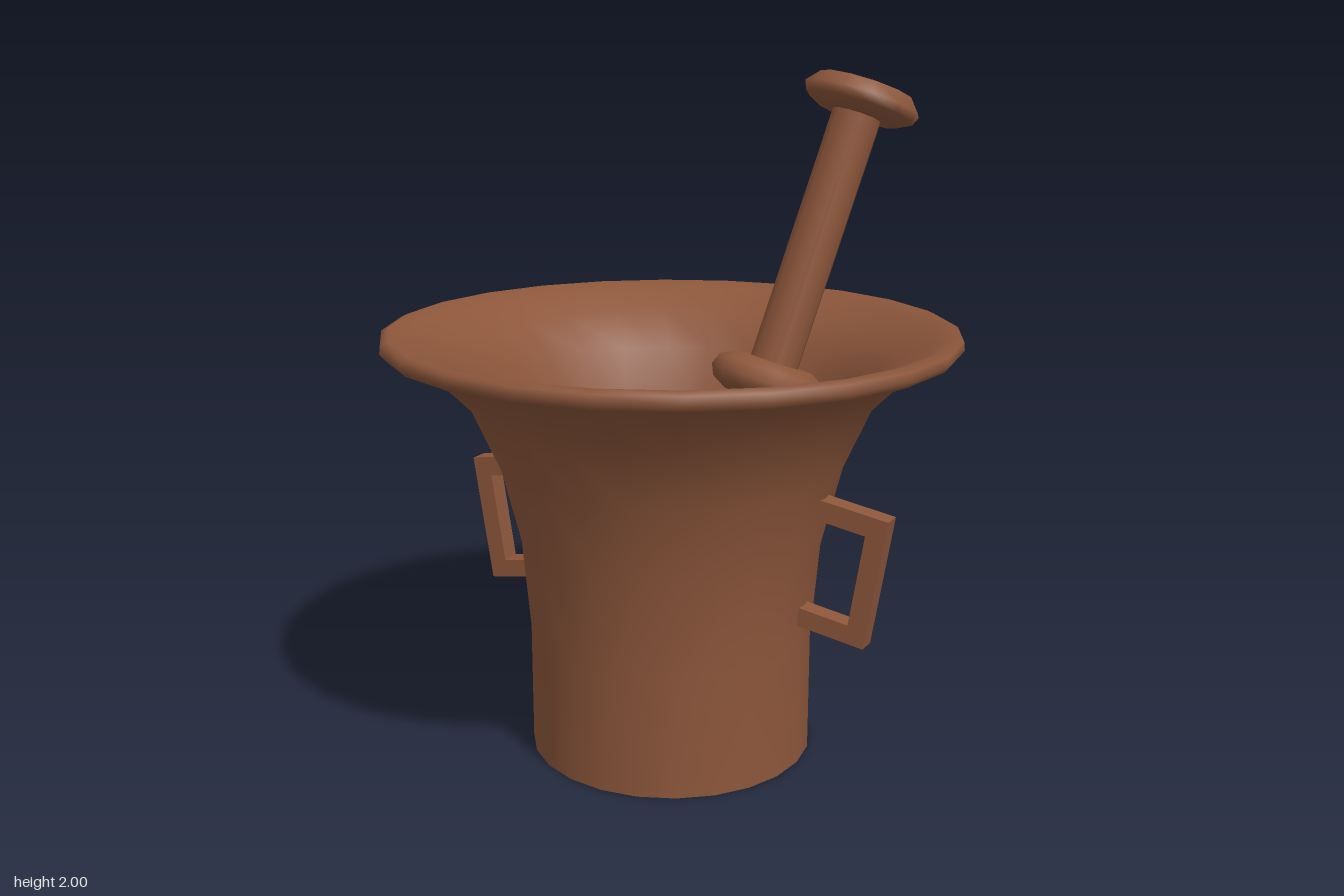
import * as THREE from 'three';

const clay = new THREE.MeshStandardMaterial({ color: 0x8c563b });
clay.name = 'brown';

function add(parent, name, geometry) {
  const mesh = new THREE.Mesh(geometry, clay);
  mesh.name = name;
  parent.add(mesh);
  return mesh;
}

const lathe = (points, sides) =>
  new THREE.LatheGeometry(points.map(([r, y]) => new THREE.Vector2(r, y)), sides);

function buildMortar() {
  const mortar = new THREE.Group();
  mortar.name = 'mortar';
  // flared wall: up the outside, over the rim, down the inside
  add(mortar, 'wall', lathe([
    [0.425, 0], [0.425, 0.36], [0.45, 0.65], [0.51, 0.89], [0.59, 1.07], [0.7, 1.18],
    [0.825, 1.232], [0.84, 1.25], [0.837, 1.275], [0.815, 1.285],
    [0.77, 1.268], [0.65, 1.215], [0.54, 1.11], [0.455, 0.91], [0.392, 0.65],
    [0.366, 0.36], [0.365, 0.08],
  ], 24));
  const floor = add(mortar, 'floor', new THREE.CircleGeometry(0.365, 24));
  floor.rotation.x = -Math.PI / 2;
  floor.position.y = 0.08;
  const base = add(mortar, 'base', new THREE.CircleGeometry(0.425, 24));
  base.rotation.x = Math.PI / 2;
  return mortar;
}

// bracket handle, its two arms running into the wall
function buildHandle() {
  const outline = new THREE.Shape([
    [0.455, 0.841], [0.695, 0.8], [0.632, 0.412], [0.4, 0.451],
    [0.4, 0.507], [0.584, 0.476], [0.628, 0.75], [0.455, 0.779],
  ].map(([x, y]) => new THREE.Vector2(x, y)));
  return new THREE.ExtrudeGeometry(outline, { depth: 0.06, bevelEnabled: false })
    .translate(0, 0, -0.03);
}

function buildPestle() {
  const pestle = new THREE.Group();
  pestle.name = 'pestle';
  const length = 1.844;
  const sides = 12;
  add(pestle, 'shaft', new THREE.CylinderGeometry(0.075, 0.075, length, sides, 1, true)
    .translate(0, length / 2, 0));

  // end knobs: a rounded collar with a flat face
  const collar = [[0.07, -0.045], [0.125, -0.045], [0.168, -0.022], [0.18, 0.005], [0.145, 0.045]];
  for (const [name, y, turn] of [['topKnob', length, 0], ['grindingHead', 0, Math.PI]]) {
    const knob = new THREE.Group();
    knob.name = name;
    add(knob, name + 'Collar', lathe(collar, sides));
    // the disc starts on +x, the lathe on +z; both line up with 12 sides
    const face = add(knob, name + 'Face', new THREE.CircleGeometry(0.145, sides));
    face.rotation.x = -Math.PI / 2;
    face.position.y = 0.045;
    knob.position.y = y;
    knob.rotation.x = turn;
    pestle.add(knob);
  }

  // rounded ring part way up
  const ring = add(pestle, 'gripRing', lathe([
    [0.07, -0.06], [0.12, -0.06], [0.165, -0.035], [0.18, 0],
    [0.165, 0.035], [0.12, 0.06], [0.07, 0.06],
  ], sides));
  ring.position.y = 0.965;

  // lean towards the back left of the rim
  pestle.position.set(-0.007, 0.18, 0);
  pestle.quaternion.setFromUnitVectors(
    new THREE.Vector3(0, 1, 0), new THREE.Vector3(0.215, 1, -0.3).normalize());
  return pestle;
}

export function createModel() {
  const model = new THREE.Group();
  model.name = 'mortarAndPestle';
  model.add(buildMortar());
  const handle = buildHandle();
  add(model, 'leftHandle', handle);
  add(model, 'rightHandle', handle).rotation.y = Math.PI;
  model.add(buildPestle());
  return model;
}
